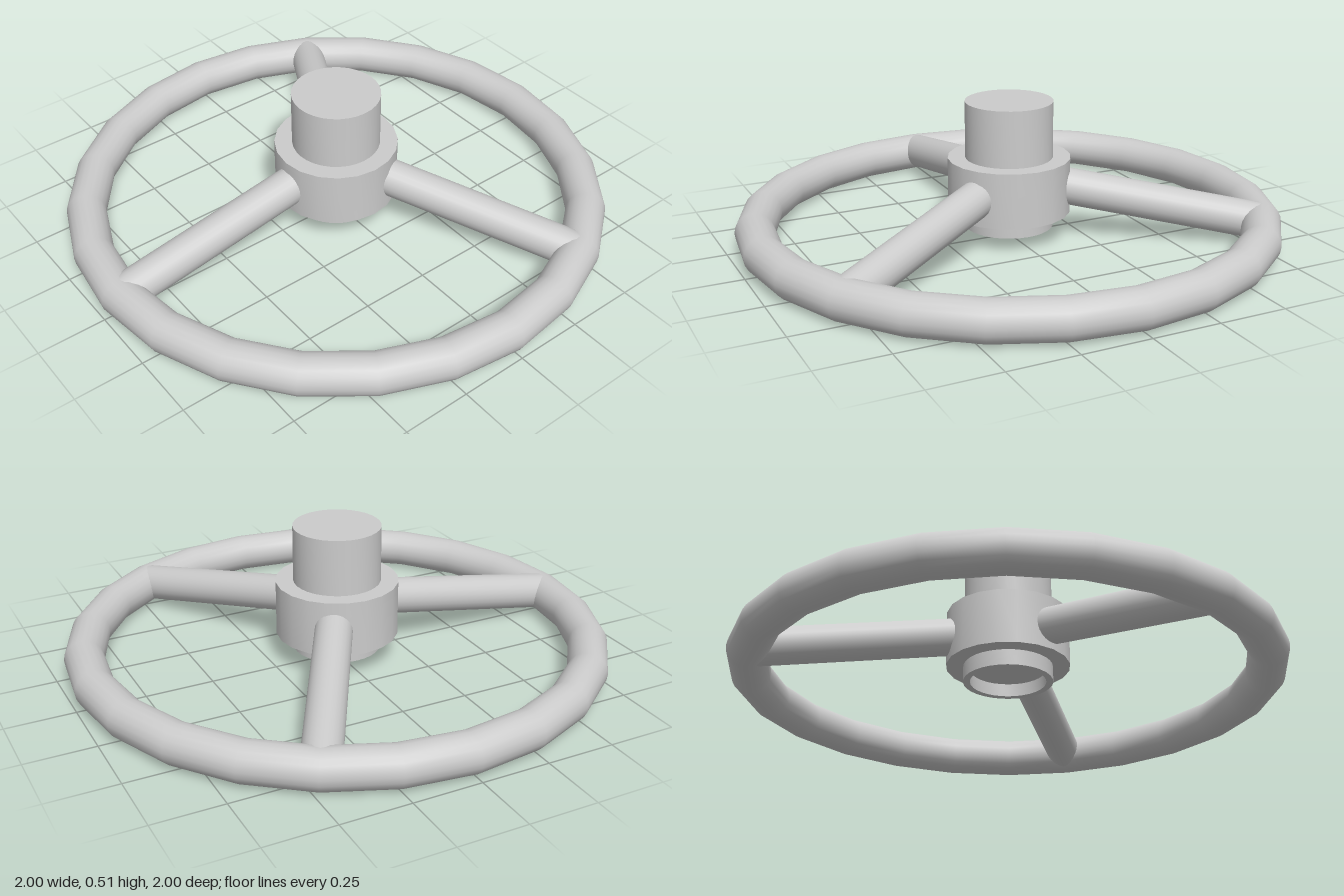
import * as THREE from 'three';
import { toCreasedNormals } from 'three/addons/utils/BufferGeometryUtils.js';

const RIM_RADIUS = 0.928;
const TUBE = 0.072;

export function createModel() {
  const group = new THREE.Group();
  const material = new THREE.MeshStandardMaterial({ color: 0xcccccc });

  const add = (name, geometry) => {
    const mesh = new THREE.Mesh(geometry, material);
    mesh.name = name;
    group.add(mesh);
    return mesh;
  };
  // Turned part from [radius, height] pairs, listed from bottom to top
  const turned = (name, profile, sides) => {
    const points = profile.map(([r, y]) => new THREE.Vector2(r, y));
    return add(name, toCreasedNormals(new THREE.LatheGeometry(points, sides), 0.6));
  };

  // Rim: 24-sided ring lying flat
  const rim = new THREE.TorusGeometry(RIM_RADIUS, TUBE, 20, 24);
  rim.rotateX(Math.PI / 2);
  rim.translate(0, TUBE, 0);
  add('rim', rim);

  // Hub body, the boss above it and the hollow collar below it
  turned('hub', [[0, 0.1], [0.226, 0.1], [0.226, 0.305], [0, 0.305]], 20);
  turned('boss', [[0, 0.29], [0.161, 0.29], [0.161, 0.515], [0, 0.515]], 32);
  turned('collar', [[0, 0.09], [0.138, 0.09], [0.138, 0.042], [0.163, 0.042], [0.163, 0.11]], 32);

  // Three round spokes sloping from the hub down into the rim
  const inner = new THREE.Vector3(0, 0.214, 0.1);
  const outer = new THREE.Vector3(0, 0.076, 0.915);
  const along = outer.clone().sub(inner);
  const spoke = new THREE.CylinderGeometry(0.068, 0.068, along.length(), 24);
  spoke.applyQuaternion(new THREE.Quaternion().setFromUnitVectors(
    new THREE.Vector3(0, 1, 0), along.clone().normalize()));
  spoke.translate(0, (inner.y + outer.y) / 2, (inner.z + outer.z) / 2);
  for (let i = 0; i < 3; i++) {
    add(`spoke${i + 1}`, spoke).rotation.y = (i * Math.PI * 2) / 3;
  }

  return group;
}
